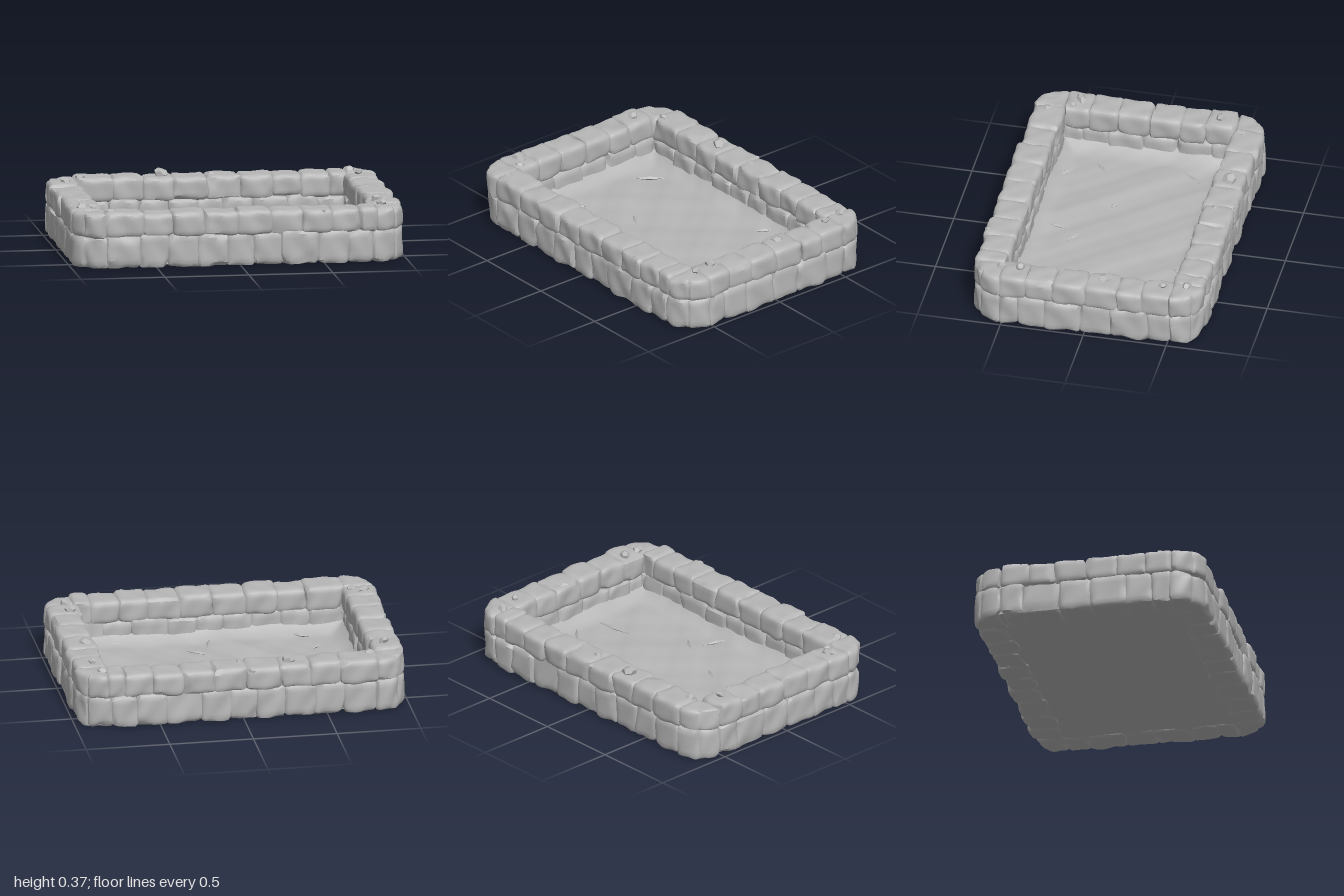
import * as THREE from 'three';
import { mergeVertices, toCreasedNormals } from 'three/addons/utils/BufferGeometryUtils.js';

const HX = 0.985, HZ = 0.695, WALL = 0.19, CORNER = 0.19;

// seeded random numbers
let seed = 7;
const rnd = (a = 0, b = 1) => {
  seed = (seed * 16807) % 2147483647;
  return a + (b - a) * (seed / 2147483647);
};
// smooth bumps from position
const bump = (x, y, z) =>
  Math.sin(x * 23 + y * 17 + 1) * Math.sin(z * 21 - y * 13) * 0.6 + Math.sin(x * 47 - z * 39 + y * 31) * 0.4;

// rounded, chipped block given by its two corners
function stoneGeometry(x0, x1, y0, y1, z0, z1) {
  const size = new THREE.Vector3(x1 - x0, y1 - y0, z1 - z0);
  const centre = new THREE.Vector3((x0 + x1) / 2, (y0 + y1) / 2, (z0 + z1) / 2);
  let g = new THREE.BoxGeometry(size.x, size.y, size.z, 9, 8, 9);
  g.deleteAttribute('normal');
  g.deleteAttribute('uv');
  g = mergeVertices(g, 1e-4);

  // chisel cuts across random edges
  const cuts = [];
  for (let i = 0; i < 9; i++) {
    const n = new THREE.Vector3(rnd(-1, 1), rnd(-0.9, 0.9), rnd(-1, 1)).normalize();
    const reach = (Math.abs(n.x) * size.x + Math.abs(n.y) * size.y + Math.abs(n.z) * size.z) / 2;
    cuts.push({ n, d: reach * rnd(0.78, 0.92) });
  }
  const r = 0.03;
  const inner = size.clone().multiplyScalar(0.5).subScalar(r);
  const low = inner.clone().negate();
  const p = new THREE.Vector3(), q = new THREE.Vector3();
  const pos = g.attributes.position;
  for (let i = 0; i < pos.count; i++) {
    p.fromBufferAttribute(pos, i);
    q.copy(p).clamp(low, inner);
    p.sub(q).setLength(r).add(q);
    for (const { n, d } of cuts) {
      const over = p.dot(n) - d;
      if (over > 0) p.addScaledVector(n, -over);
    }
    q.copy(p).add(centre);
    p.multiplyScalar(1.01 + bump(q.x, q.y, q.z) * 0.07).add(centre);
    // rounded plan corners of the whole wall
    const cx = Math.abs(p.x) - HX + CORNER, cz = Math.abs(p.z) - HZ + CORNER;
    if (cx > 0 && cz > 0) {
      const k = Math.max(cx, cz) / Math.hypot(cx, cz);
      p.x = Math.sign(p.x) * (HX - CORNER + cx * k);
      p.z = Math.sign(p.z) * (HZ - CORNER + cz * k);
    }
    pos.setXYZ(i, p.x, Math.max(p.y, 0.004), p.z);
  }
  return toCreasedNormals(g, 0.6);
}

// uneven stone slab as a bumpy plane, rising by lip along its edges
function groundGeometry(w, d, y, height, lip) {
  const g = new THREE.PlaneGeometry(w, d, 60, 44).rotateX(-Math.PI / 2);
  const pos = g.attributes.position;
  for (let i = 0; i < pos.count; i++) {
    const x = pos.getX(i), z = pos.getZ(i);
    const edge = Math.min(w / 2 - Math.abs(x), d / 2 - Math.abs(z));
    const rise = lip * Math.max(0, 1 - edge / 0.13) ** 2;
    pos.setY(i, y + rise + height * (bump(x * 0.35, 0.1, z * 0.4) + 0.4 * bump(x, 0.3, z)));
  }
  g.computeVertexNormals();
  return g;
}

export function createModel() {
  const model = new THREE.Group();
  model.name = 'stoneBasin';
  const stone = new THREE.MeshStandardMaterial({ color: 0xb6b6b6 });
  stone.name = 'grey stone';

  const add = (parent, name, geometry) => {
    const mesh = new THREE.Mesh(geometry, stone);
    mesh.name = name;
    parent.add(mesh);
    return mesh;
  };

  // two courses of wall blocks with staggered joints
  const courses = [
    { name: 'lowerCourse', y: [0.004, 0.205],
      xs: [-0.985, -0.79, -0.6, -0.43, -0.25, -0.08, 0.08, 0.25, 0.46, 0.64, 0.79, 0.985],
      zs: [-0.51, -0.38, -0.16, 0.03, 0.24, 0.4, 0.51] },
    { name: 'upperCourse', y: [0.185, 0.33],
      xs: [-0.985, -0.8, -0.58, -0.4, -0.22, -0.02, 0.18, 0.37, 0.54, 0.71, 0.81, 0.985],
      zs: [-0.51, -0.34, -0.19, 0, 0.19, 0.36, 0.51] },
  ];
  for (const { name, y, xs, zs } of courses) {
    const course = new THREE.Group();
    course.name = name;
    model.add(course);
    const o = 0.009; // blocks press into one another
    for (const side of [1, -1]) {
      for (let i = 0; i < xs.length - 1; i++) {
        const out = HZ + rnd(-0.012, 0.008), inn = HZ - WALL - rnd(-0.005, 0.01);
        const z = [side * out, side * inn].sort((a, b) => a - b);
        add(course, side > 0 ? 'frontBlock' : 'backBlock',
          stoneGeometry(xs[i] - (i ? o : 0), xs[i + 1] + (i < xs.length - 2 ? o : 0),
            y[0], y[1] + rnd(-0.008, 0.006), z[0], z[1]));
      }
      for (let i = 0; i < zs.length - 1; i++) {
        const out = HX + rnd(-0.012, 0.006), inn = HX - WALL - rnd(-0.005, 0.01);
        const x = [side * out, side * inn].sort((a, b) => a - b);
        add(course, side > 0 ? 'leftBlock' : 'rightBlock',
          stoneGeometry(x[0], x[1], y[0], y[1] + rnd(-0.008, 0.006), zs[i] - o, zs[i + 1] + o));
      }
    }
  }

  // mortar core closing the joints
  for (const s of [1, -1]) {
    const long = add(model, 'mortarCore', new THREE.BoxGeometry(1.74, 0.275, 0.13));
    long.position.set(0, 0.16, s * (HZ - WALL / 2));
    const short = add(model, 'mortarCore', new THREE.BoxGeometry(0.13, 0.275, 1.1));
    short.position.set(s * (HX - WALL / 2), 0.16, 0);
  }

  // sunken basin floor and flat underside
  add(model, 'basinFloor', groundGeometry(1.64, 1.06, 0.068, 0.01, 0.07));
  const underside = add(model, 'underside', groundGeometry(1.76, 1.18, -0.014, 0.004, 0));
  underside.rotation.x = Math.PI;

  // loose chips on the rim: x, y, z, size
  const chips = [
    [-0.28, 0.335, -0.6, 0.05], [0.01, 0.325, -0.58, 0.035], [0.84, 0.32, -0.1, 0.055],
    [0.85, 0.335, 0.41, 0.045], [-0.9, 0.335, 0.43, 0.05], [-0.84, 0.33, 0.47, 0.04],
    [-0.77, 0.325, 0.6, 0.045], [-0.77, 0.33, -0.57, 0.035], [-0.88, 0.345, -0.42, 0.04],
    [0.83, 0.33, -0.59, 0.04], [0.87, 0.345, -0.45, 0.035], [0.86, 0.33, 0.52, 0.04],
    [-0.35, 0.31, 0.68, 0.03], [0.5, 0.31, 0.675, 0.035], [-0.05, 0.31, -0.68, 0.03],
  ];
  for (const [x, y, z, s] of chips) {
    const chip = add(model, 'rimChip', new THREE.DodecahedronGeometry(s, 0));
    chip.position.set(x, y, z);
    chip.scale.set(rnd(0.6, 1), rnd(0.45, 0.7), rnd(0.5, 0.9));
    chip.rotation.set(rnd(-0.5, 0.5), rnd(0, 3), rnd(-0.5, 0.5));
  }

  // thin slivers on the floor: x, z, length, turn
  const slivers = [
    [0.58, 0.07, 0.13, 0.1], [0.68, -0.26, 0.11, 0.9], [-0.6, -0.32, 0.1, 0.9], [0.12, 0.25, 0.07, -0.6],
    [0.03, 0.38, 0.08, 1.3], [-0.25, 0.08, 0.06, -0.5], [-0.52, 0.43, 0.08, -0.6], [0.34, -0.42, 0.05, 1],
    [0.6, 0.46, 0.13, -0.1], [-0.6, 0.24, 0.06, 0.8], [0.66, -0.15, 0.08, -0.7],
  ];
  for (const [x, z, length, turn] of slivers) {
    const sliver = add(model, 'floorSliver', new THREE.OctahedronGeometry(1, 0));
    sliver.scale.set(length, 0.012, 0.012);
    sliver.position.set(x, 0.073, z);
    sliver.rotation.y = turn;
  }
  return model;
}
